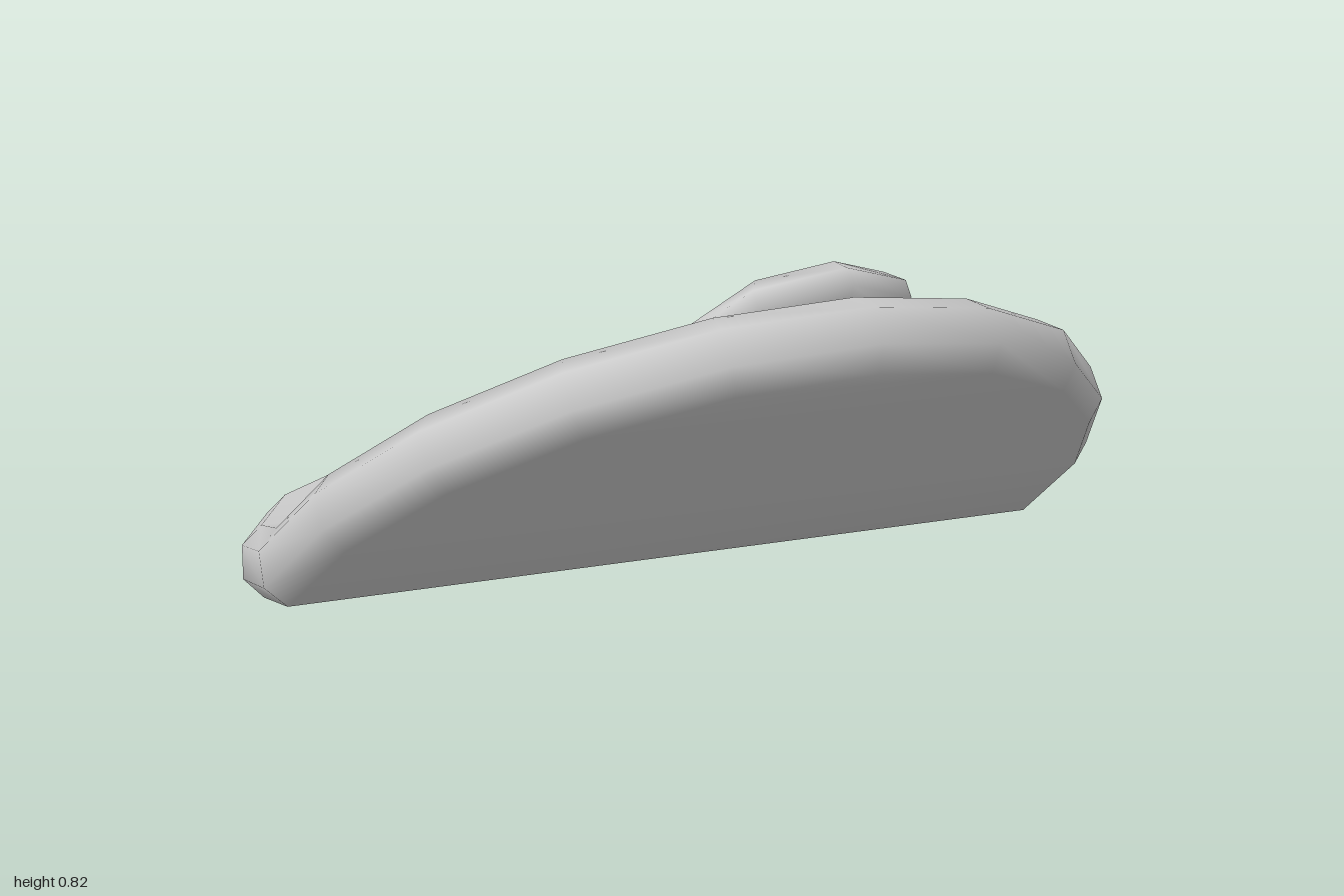
import * as THREE from 'three';
import { mergeVertices } from 'three/addons/utils/BufferGeometryUtils.js';

const SIDES = 20;
const TILT = THREE.MathUtils.degToRad(34.5);
const BEND = new THREE.Vector3(0, 0.1525, 0.08); // middle of the lid at the fold
const slope = new THREE.Vector3(0, Math.sin(TILT), Math.cos(TILT));
const normal = new THREE.Vector3(0, Math.cos(TILT), -Math.sin(TILT));

// Bends a point of the flat disc: s runs from back to front, h is height from the mid-plane
function bend(x, s, h) {
  if (s < -0.01) return [x, 0.085 + h, s + 0.065];
  if (s < 0.01) {
    const a = THREE.MathUtils.degToRad(22);
    return [x, BEND.y + h * Math.cos(a), BEND.z - h * Math.sin(a)];
  }
  const p = BEND.clone().addScaledVector(slope, s).addScaledVector(normal, h);
  return [x, p.y, p.z];
}

// Folded disc: four rings for the bevelled rim, caps filled in strips across the fold
function lidGeometry() {
  const rings = [[0.955, 0.085], [1, 0.04], [1, -0.04], [0.955, -0.085]];
  const positions = [], index = [];
  for (const [r, h] of rings) {
    for (let i = 0; i < SIDES; i++) {
      const t = (i / SIDES) * Math.PI * 2;
      positions.push(...bend(r * Math.sin(t), -r * Math.cos(t), h));
    }
  }
  const at = (ring, i) => ring * SIDES + (i + SIDES) % SIDES;
  for (let l = 0; l < rings.length - 1; l++) {
    for (let i = 0; i < SIDES; i++) {
      const a = at(l, i), b = at(l, i + 1), c = at(l + 1, i), d = at(l + 1, i + 1);
      index.push(a, b, c, b, d, c);
    }
  }
  for (let i = 0; i < SIDES / 2; i++) {
    for (const ring of [0, rings.length - 1]) {
      const l0 = at(ring, -i), l1 = at(ring, -i - 1), r0 = at(ring, i), r1 = at(ring, i + 1);
      if (ring === 0) index.push(l0, l1, r1, l0, r1, r0);
      else index.push(l0, r1, l1, l0, r0, r1);
    }
  }
  const geometry = new THREE.BufferGeometry();
  geometry.setAttribute('position', new THREE.Float32BufferAttribute(positions, 3));
  geometry.setIndex(index);
  geometry.computeVertexNormals();
  return geometry;
}

// Tapered ten-sided tab with an eight-sided finger hole, lying on the raised half
function tabGeometry() {
  const bevel = 0.035;
  const half = [[0, 0.015], [0.22, 0.09], [0.31, 0.29], [0.25, 0.66], [0.18, 0.86], [0, 0.935]];
  const mirrored = half.slice(1, -1).reverse().map(([x, v]) => [-x, v]);
  const shape = new THREE.Shape([...half, ...mirrored].map(([x, v]) => new THREE.Vector2(x, -v)));
  const hole = [];
  for (let i = 0; i < 8; i++) {
    const t = (i / 8) * Math.PI * 2;
    hole.push(new THREE.Vector2(0.13 * Math.sin(t), -0.27 - 0.13 * Math.cos(t)));
  }
  shape.holes.push(new THREE.Path(hole));
  let geometry = new THREE.ExtrudeGeometry(shape, {
    depth: 0.04, bevelEnabled: true, bevelSegments: 1,
    bevelSize: bevel, bevelThickness: bevel, bevelOffset: -bevel,
  });
  // Weld for smooth bevels
  geometry.deleteAttribute('normal');
  geometry.deleteAttribute('uv');
  geometry = mergeVertices(geometry, 1e-4);
  geometry.translate(0.02, 0, 0.085 + bevel);
  geometry.applyMatrix4(new THREE.Matrix4().makeBasis(
    new THREE.Vector3(1, 0, 0), slope.clone().negate(), normal));
  geometry.translate(BEND.x, BEND.y, BEND.z);
  geometry.computeVertexNormals();
  return geometry;
}

export function createModel() {
  const group = new THREE.Group();
  group.name = 'bentCanLid';
  const material = new THREE.MeshStandardMaterial({ color: 0xcccccc });
  const add = (name, geometry) => {
    const mesh = new THREE.Mesh(geometry, material);
    mesh.name = name;
    group.add(mesh);
  };
  add('lid', lidGeometry());
  add('pullTab', tabGeometry());
  return group;
}
